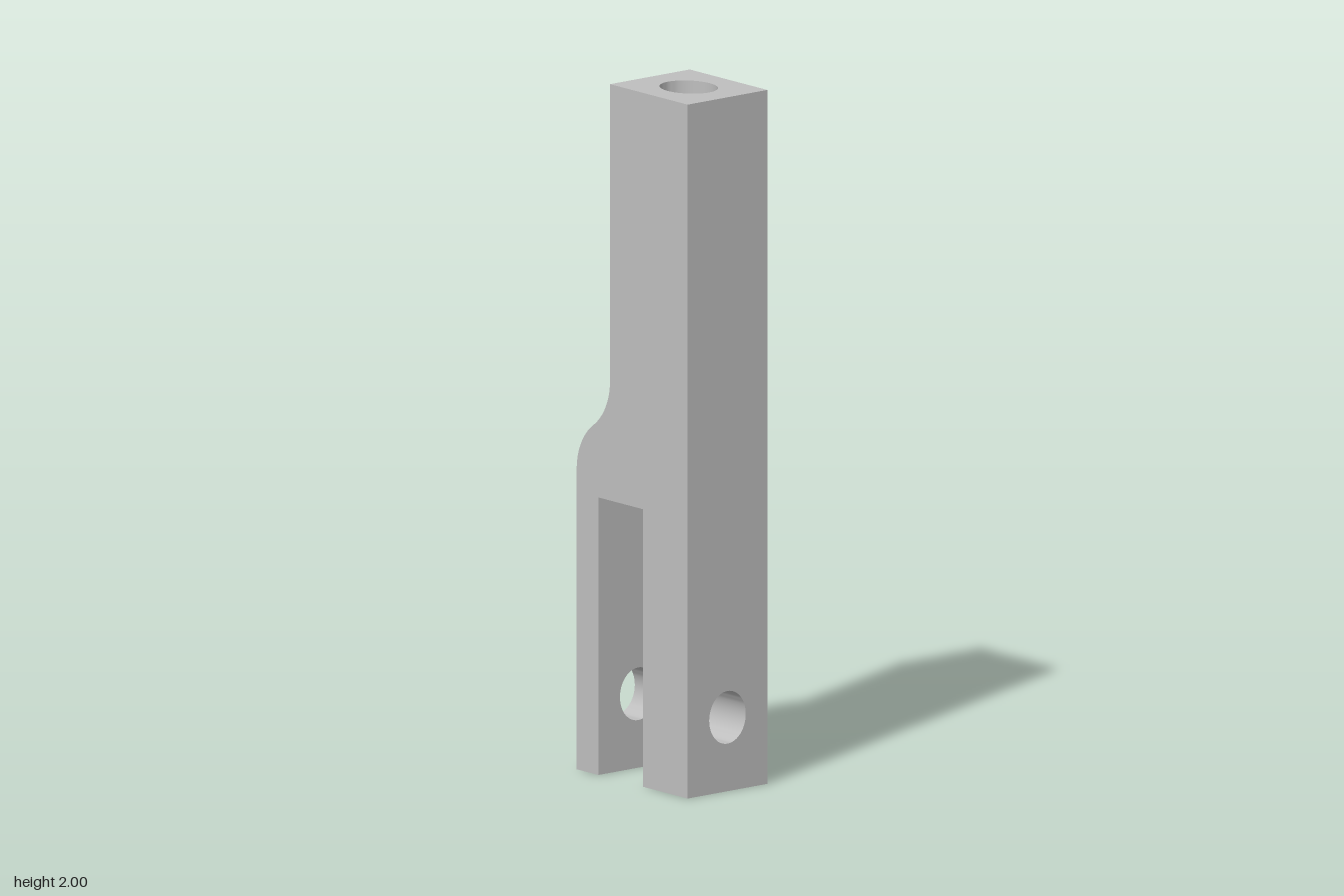
import * as THREE from 'three';
import { toCreasedNormals } from 'three/addons/utils/BufferGeometryUtils.js';

const W = 0.146;             // half width in x
const BACK = -0.243, FRONT = 0.243;
const SHANK_BACK = -0.097;   // rear face of the upper shank
const SLOT_BACK = -0.148, SLOT_FRONT = 0.048, SLOT_TOP = 0.8;
const SHANK_BOTTOM = 1.145;

function rect(x0, y0, x1, y1) {
  return new THREE.Shape([[x0, y0], [x1, y0], [x1, y1], [x0, y1]].map(p => new THREE.Vector2(...p)));
}

function withHole(shape, y, rx, ry) {
  shape.holes.push(new THREE.Path().absellipse(0, y, rx, ry, 0, Math.PI * 2, true));
  return shape;
}

function extrude(shape, depth) {
  return new THREE.ExtrudeGeometry(shape, { depth, bevelEnabled: false, curveSegments: 24 });
}

export function createModel() {
  const steel = new THREE.MeshStandardMaterial({ color: 0xbfbfbf });
  steel.name = 'grey steel';
  const group = new THREE.Group();
  group.name = 'forkEnd';

  const add = (name, geometry) => {
    const mesh = new THREE.Mesh(toCreasedNormals(geometry, 0.5), steel);
    mesh.name = name;
    group.add(mesh);
  };

  // Fork legs, each with a pin hole through it
  for (const [name, z0, z1] of [['frontLeg', SLOT_FRONT, FRONT], ['backLeg', BACK, SLOT_BACK]]) {
    const leg = withHole(rect(-W, 0, W, SLOT_TOP), 0.213, 0.067, 0.076);
    add(name, extrude(leg, z1 - z0).translate(0, 0, z0));
  }

  // Yoke: side profile (z, y) with an S-curved shoulder at the rear
  const run = (SHANK_BACK - BACK) / 2, rise = 0.14;
  const turn = 2 * Math.atan(run / rise);
  const r = rise / Math.sin(turn);
  const yoke = new THREE.Shape();
  yoke.moveTo(BACK, SLOT_TOP);
  yoke.lineTo(FRONT, SLOT_TOP);
  yoke.lineTo(FRONT, SHANK_BOTTOM);
  yoke.lineTo(SHANK_BACK, SHANK_BOTTOM);
  yoke.absarc(SHANK_BACK - r, SHANK_BOTTOM, r, 0, -turn, true);
  yoke.absarc(BACK + r, SHANK_BOTTOM - 2 * rise, r, Math.PI - turn, Math.PI, false);
  yoke.closePath();
  add('yoke', extrude(yoke, 2 * W).rotateY(-Math.PI / 2).translate(W, 0, 0));

  // Upper shank with a blind bore that ends on the yoke
  const shank = withHole(rect(-W, -FRONT, W, -SHANK_BACK), -0.073, 0.077, 0.09);
  add('shank', extrude(shank, 2 - SHANK_BOTTOM).rotateX(-Math.PI / 2).translate(0, SHANK_BOTTOM, 0));

  return group;
}
